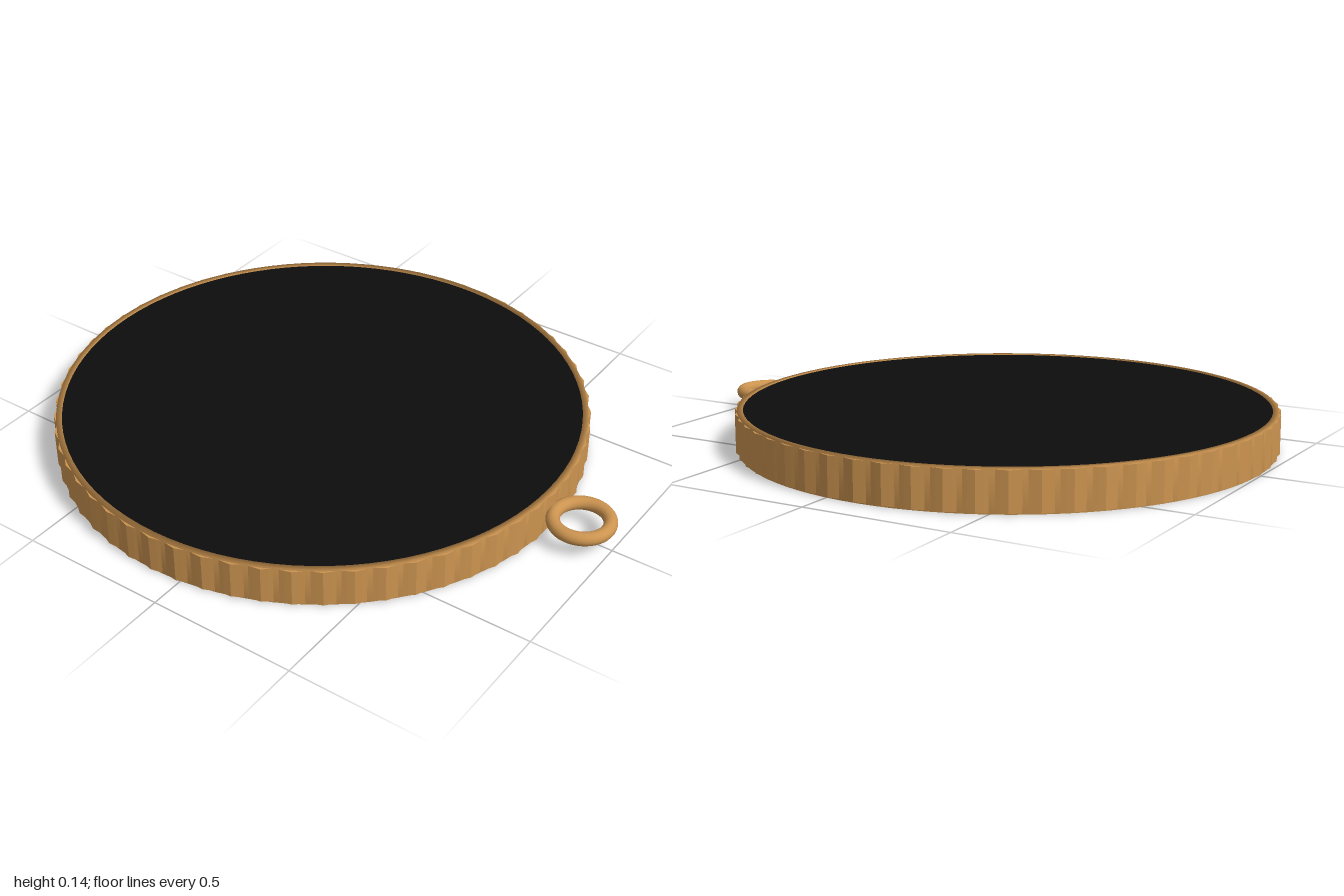
import * as THREE from 'three';

export function createModel() {
  const brass = new THREE.MeshStandardMaterial({ color: 0xcc9450 });
  brass.name = 'brass';
  const black = new THREE.MeshStandardMaterial({ color: 0x0d0d0d });
  black.name = 'black';

  const model = new THREE.Group();
  model.name = 'pendant';
  const HEIGHT = 0.135, CENTRE_Z = -0.105, INNER = 0.868;

  const add = (name, geometry, material, y, z) => {
    const mesh = new THREE.Mesh(geometry, material);
    mesh.name = name;
    mesh.position.set(0, y, z);
    model.add(mesh);
    return mesh;
  };

  // Finely fluted outer band, extruded upwards
  const FLUTES = 60, STEPS = 4;
  const outline = [];
  for (let i = 0; i < FLUTES * STEPS; i++) {
    const a = (i / (FLUTES * STEPS)) * Math.PI * 2;
    const r = 0.89 + 0.005 * Math.cos(a * FLUTES);
    outline.push(new THREE.Vector2(r * Math.cos(a), r * Math.sin(a)));
  }
  const ringShape = new THREE.Shape(outline);
  ringShape.holes.push(new THREE.Path().absarc(0, 0, INNER, 0, Math.PI * 2, true));
  const band = new THREE.ExtrudeGeometry(ringShape, {
    depth: HEIGHT - 0.008, bevelEnabled: false, curveSegments: 48,
  });
  band.rotateX(-Math.PI / 2);
  add('flutedRim', band, brass, 0.004, CENTRE_Z);

  // Smooth raised lip that borders both faces
  const lip = [[INNER, 0], [0.887, 0], [0.887, HEIGHT], [INNER, HEIGHT], [INNER, 0]];
  const lipGeometry = new THREE.LatheGeometry(lip.map(([x, y]) => new THREE.Vector2(x, y)), 96);
  add('rimLip', lipGeometry, brass, 0, CENTRE_Z);

  // Dark disc filling the rim on both sides
  const disc = new THREE.CylinderGeometry(INNER, INNER, HEIGHT - 0.006, 96);
  add('faceDisc', disc, black, HEIGHT / 2, CENTRE_Z);

  // Flat hanging loop on the front edge
  const loop = new THREE.TorusGeometry(0.09, 0.0225, 16, 48);
  loop.rotateX(Math.PI / 2);
  add('hangingLoop', loop, brass, HEIGHT / 2, 0.8875);

  return model;
}
